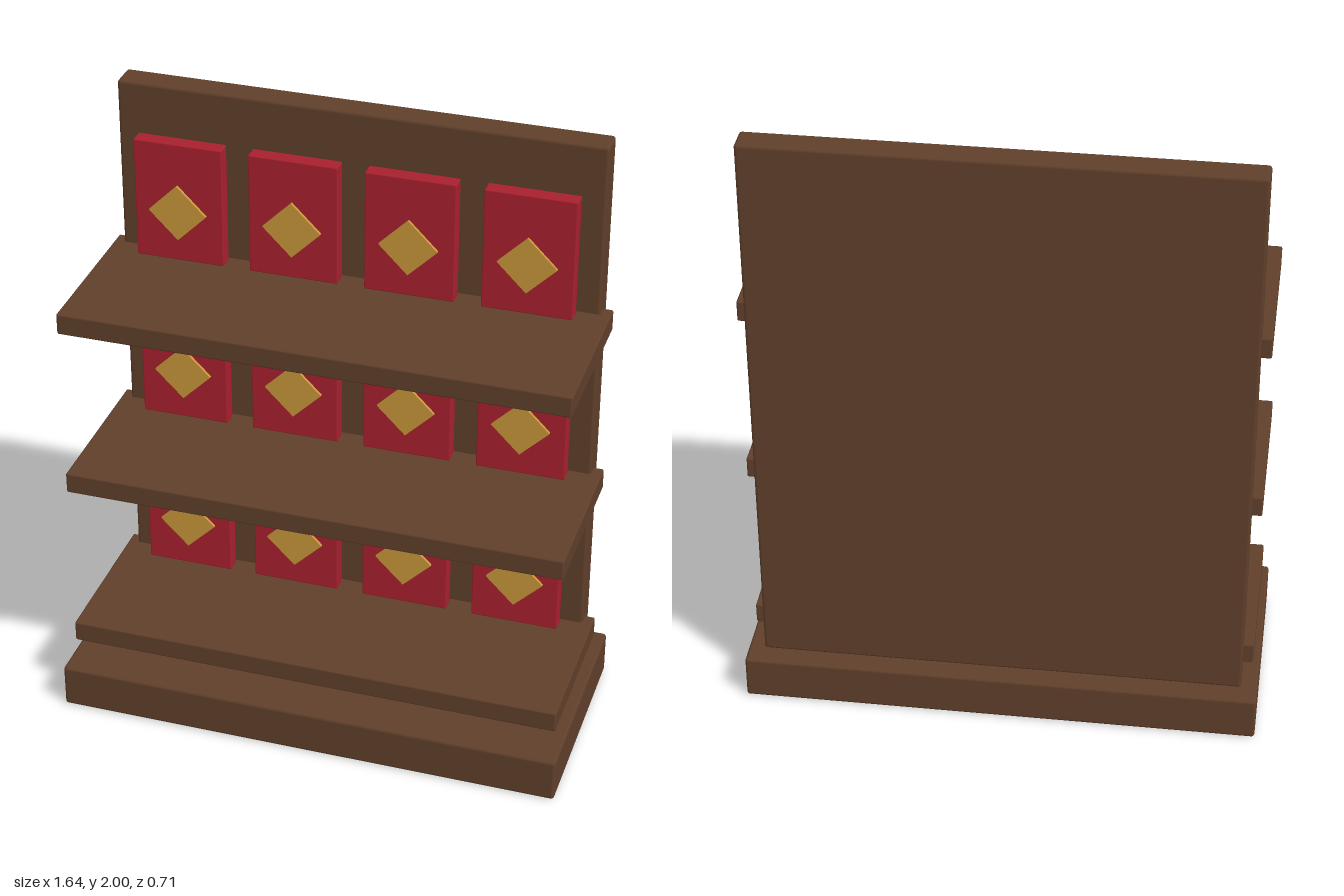
import * as THREE from 'three';
import { RoundedBoxGeometry } from 'three/addons/geometries/RoundedBoxGeometry.js';

const material = (name, color) => {
  const m = new THREE.MeshStandardMaterial({ color });
  m.name = name;
  return m;
};

export function createModel() {
  const group = new THREE.Group();
  const wood = material('brown wood', 0x5f3f2a);
  const red = material('red box', 0xa8202e);
  const gold = material('gold emblem', 0xc8963a);

  const add = (name, geometry, mat, x, y, z) => {
    const mesh = new THREE.Mesh(geometry, mat);
    mesh.name = name;
    mesh.position.set(x, y, z);
    group.add(mesh);
    return mesh;
  };

  // Plinth and upright back board, with softened edges
  add('base', new RoundedBoxGeometry(1.645, 0.14, 0.715, 2, 0.01), wood, 0, 0.073, 0).scale.y = 0.146 / 0.14;
  add('backBoard', new RoundedBoxGeometry(1.54, 1.854, 0.09, 2, 0.01), wood, 0, 1.073, -0.247);

  const shelfGeometry = new RoundedBoxGeometry(1.605, 0.07, 0.535, 2, 0.006);
  const boxGeometry = new RoundedBoxGeometry(0.286, 0.4, 0.049, 2, 0.004);
  const diamondGeometry = new THREE.BoxGeometry(0.132, 0.132, 0.0099);

  // Three shelves, each carrying four boxes with a diamond in front
  for (let row = 0; row < 3; row++) {
    const y = 0.25 + row * 0.577;
    add('shelf', shelfGeometry, wood, 0, y, 0.022);
    for (let col = 0; col < 4; col++) {
      const x = -0.558 + col * 0.371;
      add('displayBox', boxGeometry, red, x, y + 0.235, -0.166);
      add('diamond', diamondGeometry, gold, x, y + 0.208, -0.129).rotation.z = Math.PI / 4;
    }
  }
  return group;
}
